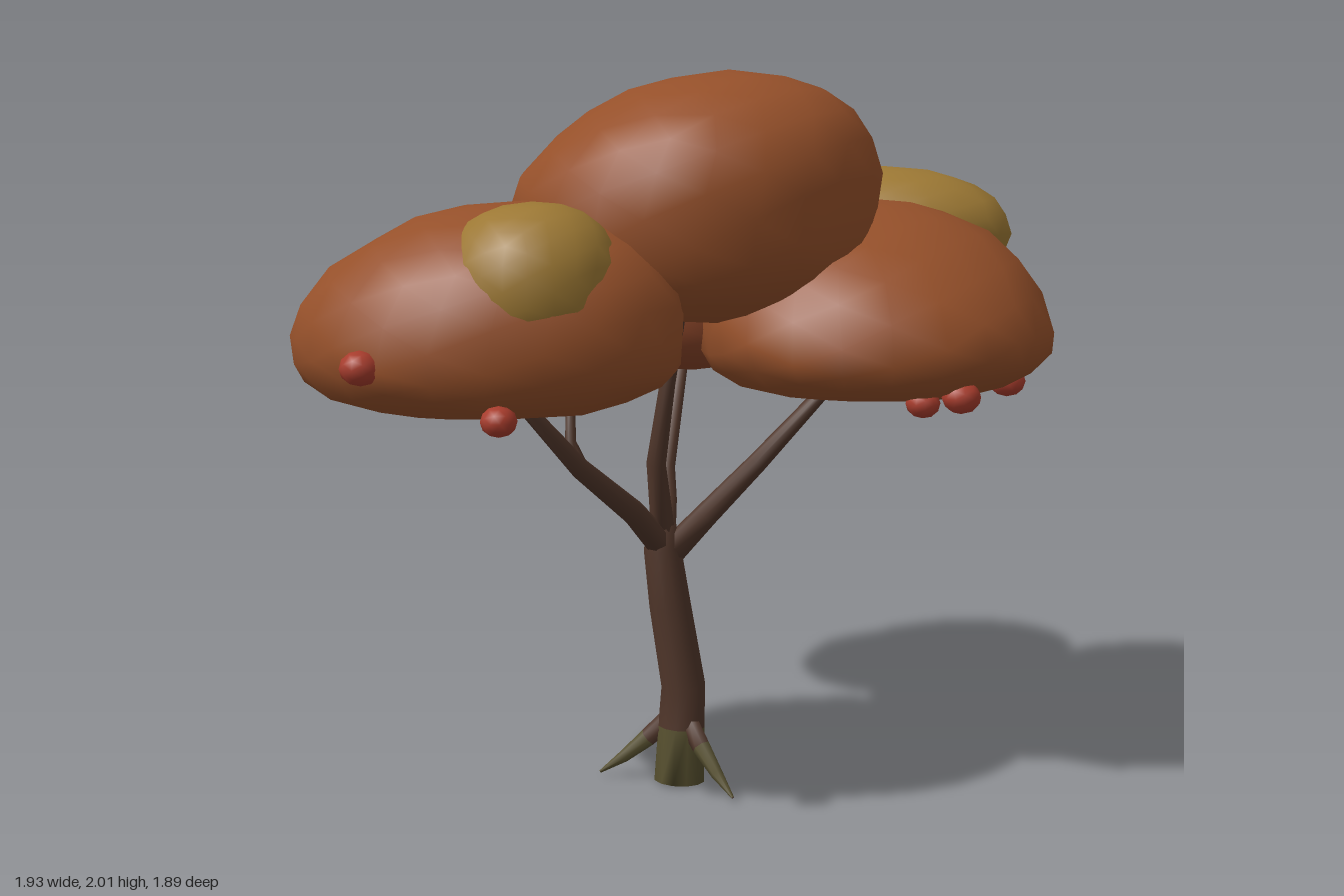
import * as THREE from 'three';
import { mergeVertices } from 'three/addons/utils/BufferGeometryUtils.js';

const mat = (color) => new THREE.MeshStandardMaterial({ color });
const bark = mat(0x50362a), moss = mat(0x57502f);
const leaf = mat(0x95502a), darkLeaf = mat(0x8a4529), gold = mat(0x9c7834), red = mat(0xa83c2c);

function add(group, name, geometry, material) {
  const mesh = new THREE.Mesh(geometry, material);
  mesh.name = name;
  group.add(mesh);
  return mesh;
}

// Tapered limb through points [x, y, z, radius]; faces chosen by isMoss get the mossy material
function limb(points, sides, isMoss) {
  const at = points.map((p) => new THREE.Vector3(p[0], p[1], p[2]));
  const pos = [], plain = [], mossy = [], n = at.length;
  const up = new THREE.Vector3(0, 1, 0);
  at.forEach((c, i) => {
    const dir = at[Math.min(i + 1, n - 1)].clone().sub(at[Math.max(i - 1, 0)]).normalize();
    const turn = new THREE.Quaternion().setFromUnitVectors(up, dir);
    for (let j = 0; j < sides; j++) {
      const a = (j / sides) * Math.PI * 2, r = points[i][3];
      const v = new THREE.Vector3(Math.sin(a) * r, 0, Math.cos(a) * r).applyQuaternion(turn).add(c);
      pos.push(v.x, v.y, v.z);
    }
  });
  for (let i = 0; i < n - 1; i++) {
    for (let j = 0; j < sides; j++) {
      const k = (j + 1) % sides, a = i * sides + j, b = i * sides + k;
      const list = isMoss(i, ((j + 0.5) / sides) * Math.PI * 2) ? mossy : plain;
      list.push(a, b, b + sides, a, b + sides, a + sides);
    }
  }
  // End caps
  const last = (n - 1) * sides;
  for (let j = 1; j < sides - 1; j++) {
    mossy.push(0, j + 1, j);
    plain.push(last, last + j, last + j + 1);
  }
  const g = new THREE.BufferGeometry();
  g.setAttribute('position', new THREE.Float32BufferAttribute(pos, 3));
  g.setIndex([...plain, ...mossy]);
  g.addGroup(0, plain.length, 0);
  g.addGroup(plain.length, mossy.length, 1);
  g.computeVertexNormals();
  return g;
}

// Smooth-shaded faceted ball with shared corners
function ball(radius, detail) {
  const g = new THREE.IcosahedronGeometry(radius, detail);
  g.deleteAttribute('normal');
  g.deleteAttribute('uv');
  const merged = mergeVertices(g, 1e-5);
  merged.computeVertexNormals();
  return merged;
}

// Lumpy foliage dome: rounded top leaning sideways, flatter underside
function clump({ at: [x, y, z], size: [rx, top, rz], bottom, lean: [lx, lz], power: [upper, lower], seed }) {
  const g = ball(1, 3);
  const p = g.attributes.position, v = new THREE.Vector3();
  for (let i = 0; i < p.count; i++) {
    v.fromBufferAttribute(p, i).normalize();
    const bump = 1 + 0.016 * Math.sin(v.x * 4 + seed) + 0.016 * Math.sin(v.z * 5 + seed * 2.3)
      + 0.014 * Math.sin(v.y * 7 + v.x * 6 + seed * 4) + 0.012 * Math.sin(v.z * 11 - v.x * 9 + seed);
    const h = Math.hypot(v.x, v.z) || 1e-6;
    const spread = (Math.pow(h, v.y < 0 ? lower : upper) / h) * bump;
    const rise = v.y < 0 ? -Math.pow(-v.y, 0.78) * bottom : Math.pow(v.y, 0.97) * top;
    const tilt = Math.max(v.y, 0);
    p.setXYZ(i, x + v.x * spread * rx + lx * tilt, y + rise * (1 + (bump - 1) * 0.5),
      z + v.z * spread * rz + lz * tilt);
  }
  g.computeVertexNormals();
  return g;
}

export function createModel() {
  const tree = new THREE.Group();
  tree.name = 'tree';
  const wood = [bark, moss];

  // Trunk, mossy at the foot and on the back
  add(tree, 'trunk', limb([
    [-0.05, 0, 0.07, 0.073], [-0.045, 0.16, 0.062, 0.068], [-0.04, 0.28, 0.06, 0.064],
    [-0.075, 0.52, 0.075, 0.06], [-0.095, 0.68, 0.08, 0.054], [-0.095, 0.75, 0.08, 0.04],
  ], 12, (i, a) => i === 0 || (i < 4 && Math.cos(a) < -0.3)), wood);

  // Roots
  const roots = [[-0.28, 0.09], [0.14, 0.21], [-0.03, -0.16]];
  for (const [x, z] of roots) {
    const mix = (t, y, r) => [-0.045 + (x + 0.045) * t, y, 0.065 + (z - 0.065) * t, r];
    add(tree, 'root', limb([mix(0.1, 0.19, 0.03), mix(0.4, 0.12, 0.027), mix(0.7, 0.06, 0.018),
      mix(1, 0.01, 0.004)], 7, (i) => i > 0), wood);
  }

  // Branches, one to each large clump, and a twig
  const branches = [
    [[-0.09, 0.68, 0.08, 0.04], [-0.15, 0.8, 0.18, 0.034], [-0.25, 0.95, 0.35, 0.028], [-0.4, 1.18, 0.49, 0.018]],
    [[-0.08, 0.66, 0.07, 0.04], [0.03, 0.78, 0.075, 0.034], [0.17, 0.93, 0.05, 0.028], [0.38, 1.17, -0.04, 0.018]],
    [[-0.1, 0.68, 0.07, 0.04], [-0.12, 0.79, -0.05, 0.034], [-0.14, 0.87, -0.13, 0.028], [-0.15, 1.17, -0.38, 0.018]],
    [[-0.09, 0.7, 0.08, 0.036], [-0.1, 0.93, 0.125, 0.028], [-0.06, 1.16, 0.15, 0.022], [-0.02, 1.42, 0.12, 0.016]],
    [[-0.25, 0.96, 0.35, 0.02], [-0.28, 1.02, 0.34, 0.016], [-0.29, 1.17, 0.3, 0.011]],
  ];
  for (const b of branches) add(tree, 'branch', limb(b, 8, () => false), wood);

  // Foliage: size is x, upward and z radius; bottom is the downward radius
  const clumps = [
    { name: 'crownFoliage', material: leaf, at: [-0.005, 1.63, 0.095], size: [0.51, 0.37, 0.49], bottom: 0.3,
      lean: [0.11, 0.03], power: [0.98, 0.78], seed: 1.2 },
    { name: 'frontFoliage', material: leaf, at: [-0.455, 1.32, 0.485], size: [0.525, 0.35, 0.435], bottom: 0.2,
      lean: [0.1, -0.02], power: [0.98, 0.68], seed: 2.6 },
    { name: 'sideFoliage', material: leaf, at: [0.47, 1.3, -0.085], size: [0.485, 0.36, 0.515], bottom: 0.185,
      lean: [-0.06, -0.1], power: [1, 0.7], seed: 4.1 },
    { name: 'backFoliage', material: darkLeaf, at: [-0.21, 1.33, -0.5], size: [0.435, 0.3, 0.43], bottom: 0.205,
      lean: [0, 0], power: [0.95, 0.68], seed: 5.3 },
    { name: 'upperBackFoliage', material: leaf, at: [-0.26, 1.53, -0.61], size: [0.345, 0.22, 0.315], bottom: 0.19,
      lean: [0, 0.03], power: [0.95, 0.75], seed: 0.4 },
    { name: 'goldenSideFoliage', material: gold, at: [0.43, 1.54, -0.49], size: [0.365, 0.19, 0.275], bottom: 0.2,
      lean: [0, 0], power: [0.85, 0.75], seed: 3.3 },
    { name: 'goldenFrontFoliage', material: gold, at: [-0.28, 1.47, 0.635], size: [0.23, 0.205, 0.235], bottom: 0.16,
      lean: [0, 0], power: [0.9, 0.75], seed: 6.1 },
  ];
  for (const c of clumps) add(tree, c.name, clump(c), c.material);

  // Fruit
  const fruits = [
    [-0.64, 1.28, 0.89], [-0.3, 1.155, 0.85], [0.75, 1.16, 0.22], [0.65, 1.14, 0.22], [0.83, 1.145, -0.22],
    [0.71, 1.345, -0.58], [-0.35, 1.43, -0.9], [-0.475, 1.63, 0], [0.03, 1.63, -0.38],
    [-0.38, 1.21, 0.075], [-0.45, 1.21, 0.075],
  ];
  fruits.forEach(([x, y, z], i) => {
    const fruit = add(tree, 'fruit', ball(i % 2 ? 0.046 : 0.052, 1), red);
    fruit.position.set(x, y, z);
    fruit.rotation.y = i * 2;
    fruit.scale.y = 0.85;
  });
  return tree;
}
